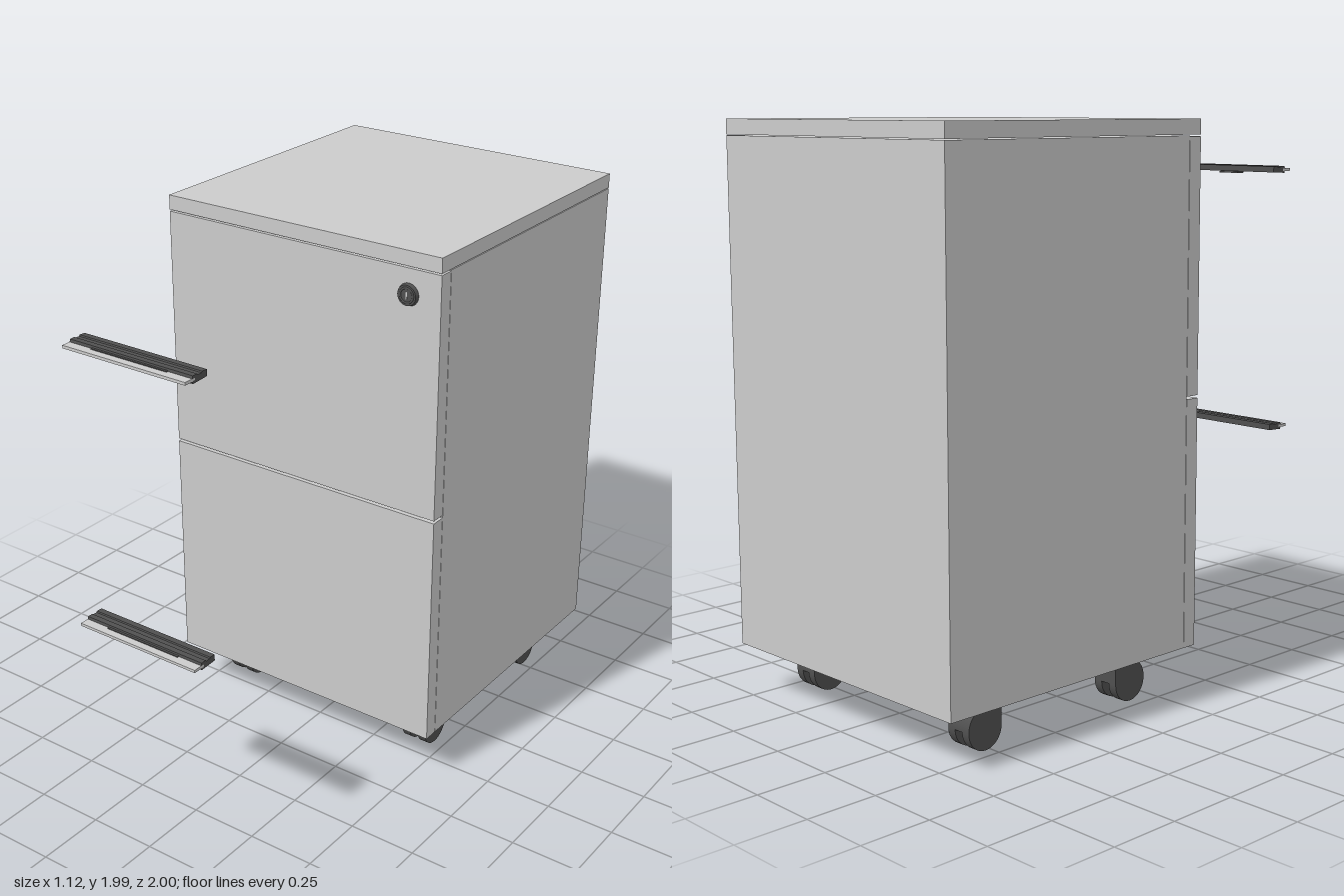
import * as THREE from 'three';

const grey = new THREE.MeshStandardMaterial({ color: 0xcccccc });
const dark = new THREE.MeshStandardMaterial({ color: 0x505050 });

function add(parent, name, geometry, material, x = 0, y = 0, z = 0) {
  const mesh = new THREE.Mesh(geometry, material);
  mesh.name = name;
  mesh.position.set(x, y, z);
  parent.add(mesh);
  return mesh;
}

// Box given by its limits along each axis
function block(parent, name, material, [x0, x1], [y0, y1], [z0, z1]) {
  return add(parent, name, new THREE.BoxGeometry(x1 - x0, y1 - y0, z1 - z0), material,
    (x0 + x1) / 2, (y0 + y1) / 2, (z0 + z1) / 2);
}

// Pull: dark moulded grip at the back, thin pale lip in front
function makePull(name, x, y, withTab) {
  const g = new THREE.Group();
  g.name = name;
  g.position.set(x, y, 0);
  const half = 0.243;
  // Cross-section (z, y) with a shallow groove along the top and the front
  const section = new THREE.Shape([
    [0.9, -0.01], [0.965, -0.013], [0.967, -0.004], [0.955, -0.003], [0.955, 0.003], [0.967, 0.004],
    [0.965, 0.013], [0.945, 0.013], [0.942, 0.009], [0.925, 0.009], [0.922, 0.013], [0.9, 0.012],
  ].map(([z, h]) => new THREE.Vector2(z, h)));
  const grip = new THREE.ExtrudeGeometry(section, { depth: half * 2, bevelEnabled: false });
  grip.rotateY(-Math.PI / 2).translate(half, 0, 0);
  add(g, 'pullGrip', grip, dark);
  block(g, 'pullLip', grey, [-half, half], [-0.006, 0.004], [0.955, 1]);
  block(g, 'pullInsert', dark, [-0.15, 0.15], [0.004, 0.007], [0.964, 0.974]);
  if (withTab) block(g, 'pullTab', dark, [-0.045, 0.045], [-0.018, -0.012], [0.925, 0.96]);
  return g;
}

// Twin-wheel caster; the hood's square corner lies towards -z
function makeCaster() {
  const g = new THREE.Group();
  g.name = 'caster';
  const r = 0.07;
  for (const side of [-1, 1]) {
    const wheel = add(g, 'casterWheel', new THREE.CylinderGeometry(r, r, 0.033, 32), dark, side * 0.0335, r, 0);
    wheel.rotation.z = Math.PI / 2;
  }
  // Hood: quarter-round over the wheels with a square rear corner
  const profile = new THREE.Shape();
  profile.moveTo(-r, 0.07);
  profile.lineTo(r, 0.07);
  profile.absarc(0, 0.075, r, 0, Math.PI / 2, false);
  profile.lineTo(-r, 0.145);
  const hood = new THREE.ExtrudeGeometry(profile, { depth: 0.1, bevelEnabled: false, curveSegments: 12 });
  hood.rotateY(-Math.PI / 2).translate(0.05, 0, 0);
  add(g, 'casterHood', hood, dark);
  add(g, 'casterStem', new THREE.CylinderGeometry(0.007, 0.007, 0.045, 12), dark, 0, 0.16, -0.05);
  add(g, 'casterCollar', new THREE.CylinderGeometry(0.013, 0.013, 0.012, 12), dark, 0, 0.15, -0.05);
  return g;
}

export function createModel() {
  const model = new THREE.Group();
  model.name = 'mobilePedestal';
  const width = [-0.558, 0.558];

  // Cabinet
  block(model, 'carcass', grey, width, [0.175, 1.935], [-1, 0.064]);
  block(model, 'topPanel', grey, width, [1.938, 1.99], [-1, 0.12]);
  block(model, 'lowerDrawerFront', grey, width, [0.175, 1.05], [0.066, 0.12]);
  block(model, 'upperDrawerFront', grey, width, [1.06, 1.932], [0.066, 0.12]);

  // Pulls, standing clear of the drawer fronts
  model.add(makePull('upperPull', -0.002, 1.793, true));
  model.add(makePull('lowerPull', -0.008, 0.803, false));

  // Lock: collar, raised rim and key slot
  const lock = new THREE.Group();
  lock.name = 'lock';
  lock.position.set(0.435, 1.843, 0.12);
  const barrel = add(lock, 'lockBarrel', new THREE.CylinderGeometry(0.035, 0.039, 0.013, 32), dark, 0, 0, 0.0065);
  barrel.rotation.x = Math.PI / 2;
  add(lock, 'lockRim', new THREE.TorusGeometry(0.025, 0.004, 8, 32), dark, 0, 0, 0.012);
  add(lock, 'keySlot', new THREE.BoxGeometry(0.005, 0.026, 0.003), grey, 0, 0, 0.013);
  model.add(lock);

  // Casters: the rear pair is turned round
  for (const x of [-0.408, 0.408]) {
    for (const [z, turn] of [[-0.1, 0], [-0.77, Math.PI]]) {
      const caster = makeCaster();
      caster.position.set(x, 0, z);
      caster.rotation.y = turn;
      model.add(caster);
    }
  }
  return model;
}
